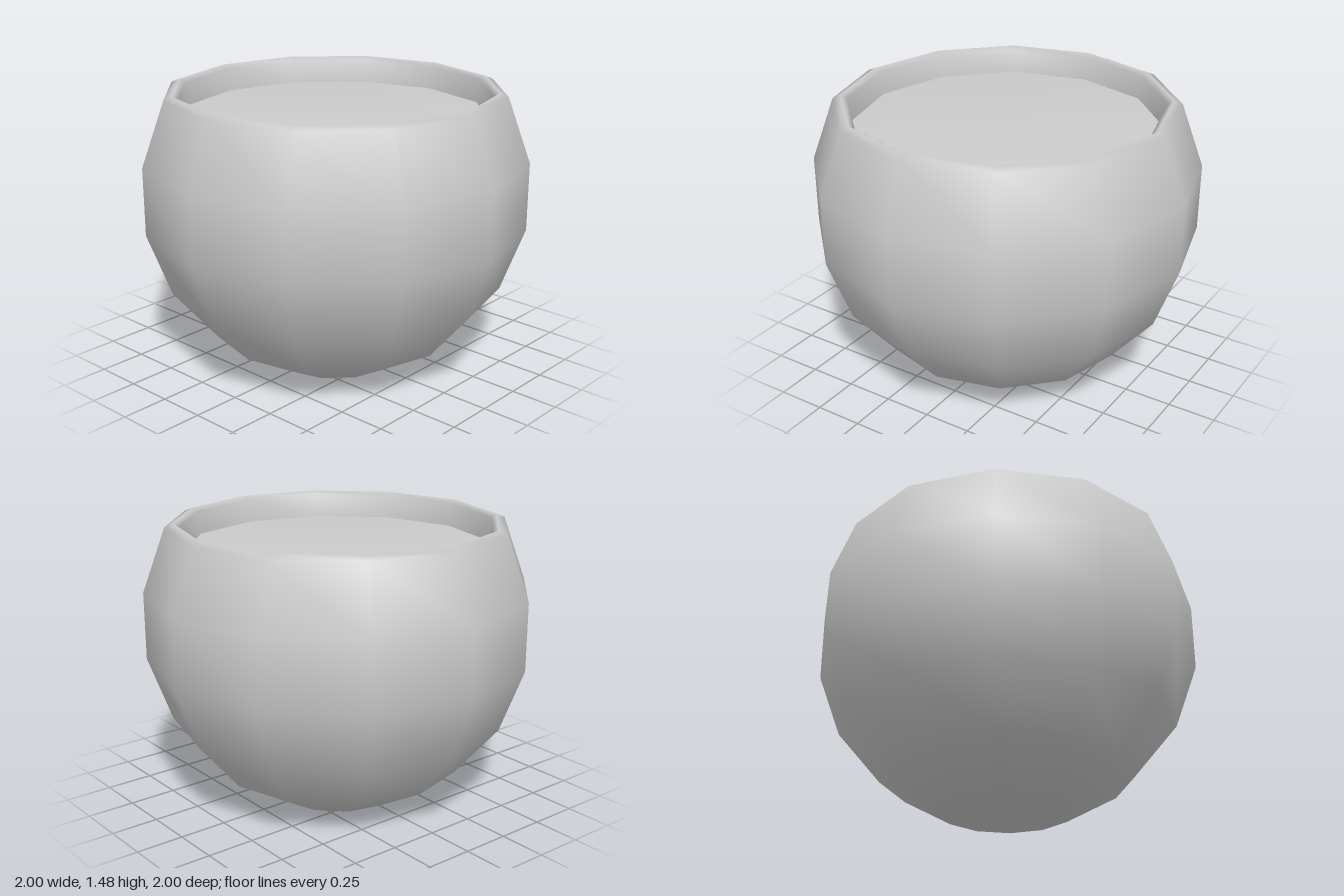
import * as THREE from 'three';

const SIDES = 12;

// Revolve a list of [radius, height] points into a smooth-shaded part
function revolve(name, points) {
  const profile = points.map(([r, y]) => new THREE.Vector2(r, y));
  const mesh = new THREE.Mesh(
    new THREE.LatheGeometry(profile, SIDES),
    new THREE.MeshStandardMaterial({ color: 0xcccccc, side: THREE.DoubleSide })
  );
  mesh.name = name;
  return mesh;
}

export function createModel() {
  const group = new THREE.Group();
  group.name = 'roundPot';

  // Spherical wall: rings every 20 degrees, from the flat foot to the shoulder
  const wall = [[0, 0]];
  for (let angle = -70; angle <= 30; angle += 20) {
    const a = THREE.MathUtils.degToRad(angle);
    wall.push([1.015 * Math.cos(a), 0.954 + 1.015 * Math.sin(a)]);
  }

  // Rounded rim, turning down into the inner lip
  const rim = [[0.835, 1.48], [0.805, 1.46], [0.79, 1.34]];
  group.add(revolve('potBody', [...wall, ...rim]));

  // Level filling that closes the opening just below the lip
  group.add(revolve('filling', [[0.87, 1.26], [0.87, 1.335], [0, 1.335]]));

  return group;
}
